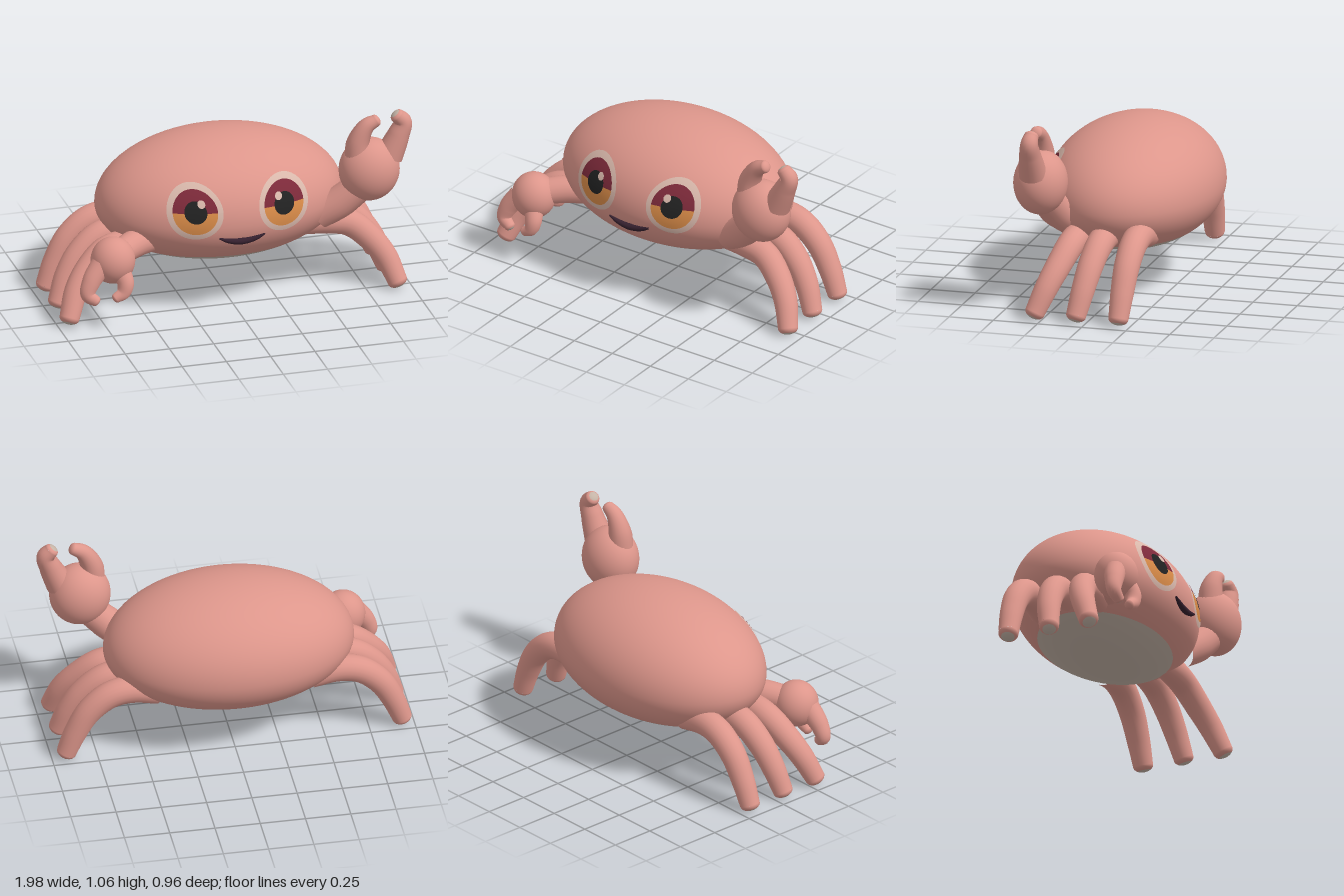
import * as THREE from 'three';

const mat = (name, color, side = THREE.FrontSide) => {
  const m = new THREE.MeshStandardMaterial({ color, side });
  m.name = name;
  return m;
};
const V = (p) => new THREE.Vector3(...p);

// Body ellipsoid: a shallower lower half and a taller upper half
const BODY = { y: 0.54, z: -0.012, rx: 0.688, up: 0.38, down: 0.32, rz: 0.472 };
const surfaceZ = (x, y) => {
  const ry = y > BODY.y ? BODY.up : BODY.down;
  return BODY.z + BODY.rz * Math.sqrt(Math.max(0, 1 - (x / BODY.rx) ** 2 - ((y - BODY.y) / ry) ** 2));
};

export function createModel() {
  const pink = mat('shellPink', 0xdd968b);
  const pale = mat('bellyGrey', 0xc4b3a6);
  const rim = mat('eyeRimCream', 0xd9b8ab);
  const maroon = mat('irisMaroon', 0x7d2a3a);
  const orange = mat('irisOrange', 0xd98b48);
  const black = mat('pupilBlack', 0x222222);
  const plum = mat('mouthPlum', 0x35202e);

  const model = new THREE.Group();
  model.name = 'crab';
  const add = (parent, name, geometry, material) => {
    const mesh = new THREE.Mesh(geometry, material);
    mesh.name = name;
    parent.add(mesh);
    return mesh;
  };
  const group = (name) => {
    const g = new THREE.Group();
    g.name = name;
    model.add(g);
    return g;
  };

  // Tube whose radius follows a list of values along the path
  const limb = (parent, name, points, radii, material = pink, tipMaterial = null) => {
    const curve = new THREE.CatmullRomCurve3(points.map(V));
    const n = 28, sides = 20;
    const geo = new THREE.TubeGeometry(curve, n, 1, sides);
    const pos = geo.attributes.position;
    for (let i = 0; i <= n; i++) {
      const c = curve.getPointAt(i / n);
      const f = (i / n) * (radii.length - 1);
      const k = Math.min(Math.floor(f), radii.length - 2);
      const r = THREE.MathUtils.lerp(radii[k], radii[k + 1], f - k);
      for (let j = 0; j <= sides; j++) {
        const id = i * (sides + 1) + j;
        const p = new THREE.Vector3().fromBufferAttribute(pos, id).sub(c).multiplyScalar(r).add(c);
        pos.setXYZ(id, p.x, p.y, p.z);
      }
    }
    add(parent, name, geo, material);
    if (!tipMaterial) return;
    // Rounded end with a coloured tip
    const r = radii[radii.length - 1];
    const q = new THREE.Quaternion().setFromUnitVectors(new THREE.Vector3(0, 1, 0), curve.getTangentAt(1));
    for (const [suffix, m, start, len] of [['Tip', tipMaterial, 0, 0.75], ['End', material, 0.75, Math.PI / 2 - 0.75]]) {
      const cap = add(parent, name + suffix, new THREE.SphereGeometry(r, sides, 8, 0, Math.PI * 2, start, len), m);
      cap.position.copy(curve.getPointAt(1));
      cap.quaternion.copy(q);
      cap.scale.y = 0.65;
    }
  };

  // Shell and belly
  const body = group('body');
  const cut = Math.PI - Math.acos(0.694);
  for (const [name, m, start, end, ry] of [
    ['upperShell', pink, 0, Math.PI / 2, BODY.up],
    ['lowerShell', pink, Math.PI / 2, cut, BODY.down],
    ['belly', pale, cut, Math.PI, BODY.down],
  ]) {
    const part = add(body, name, new THREE.SphereGeometry(1, 80, 28, 0, Math.PI * 2, start, end - start), m);
    part.position.set(0, BODY.y, BODY.z);
    part.scale.set(BODY.rx, ry, BODY.rz);
  }

  // Thin painted patch draped over the front of the body
  const patch = (parent, name, m, cx, cy, inner, outer, lift, a0 = 0, sweep = Math.PI * 2) => {
    const geo = new THREE.RingGeometry(inner, outer, 48, 6, a0, sweep);
    const pos = geo.attributes.position;
    for (let i = 0; i < pos.count; i++) {
      const x = pos.getX(i) + cx, y = pos.getY(i) + cy;
      pos.setXYZ(i, x, y, surfaceZ(x, y) + lift);
    }
    geo.computeVertexNormals();
    add(parent, name, geo, m);
  };

  // Eyes
  for (const s of [-1, 1]) {
    const eye = group(s > 0 ? 'leftEye' : 'rightEye');
    const x = s * 0.25, y = 0.63;
    patch(eye, 'eyeRim', rim, x, y, 0.116, 0.149, 0.006);
    patch(eye, 'upperIris', maroon, x, y, 0, 0.119, 0.007, 0, Math.PI);
    patch(eye, 'lowerIris', orange, x, y, 0, 0.119, 0.007, Math.PI, Math.PI);
    patch(eye, 'pupil', black, x, y + 0.005, 0, 0.06, 0.011);
    patch(eye, 'glint', rim, x - s * 0.032, y + 0.05, 0, 0.021, 0.015);
  }

  // Smiling mouth, tapering at both corners
  const smile = [-0.13, -0.085, -0.04, 0, 0.04, 0.085, 0.13].map((x) => {
    const y = 0.457 + 1.8 * x * x;
    return [x, y, surfaceZ(x, y) + 0.016];
  });
  limb(model, 'mouth', smile, [0.004, 0.012, 0.016, 0.018, 0.016, 0.012, 0.004], plum);

  // Three walking legs on each side: [name, hip z, foot z, knee lift]
  for (const s of [-1, 1]) {
    for (const [name, z0, z1, lift] of [
      ['frontLeg', 0.15, 0.288, -0.015],
      ['middleLeg', -0.01, 0.055, 0],
      ['backLeg', -0.2, -0.185, 0.015],
    ]) {
      const leg = group((s > 0 ? 'left_' : 'right_') + name);
      const z = (t) => THREE.MathUtils.lerp(z0, z1, t);
      limb(leg, name, [
        [s * 0.42, 0.385, z(-0.1)],
        [s * 0.57, 0.4 + lift, z(0)],
        [s * 0.69, 0.375 + lift, z(0.08)],
        [s * 0.8, 0.285 + lift, z(0.33)],
        [s * 0.875, 0.17, z(0.63)],
        [s * 0.926, 0.04, z(1)],
      ], [0.07, 0.076, 0.074, 0.07, 0.064, 0.055], pink, pale);
    }
  }

  const palm = (parent, position, scale) => {
    const p = add(parent, 'palm', new THREE.SphereGeometry(1, 40, 28), pink);
    p.position.set(...position);
    p.scale.set(...scale);
  };

  // Raised left claw
  const left = group('leftClaw');
  limb(left, 'arm', [[0.5, 0.46, 0.22], [0.6, 0.53, 0.26], [0.74, 0.65, 0.3]], [0.085, 0.09, 0.08]);
  palm(left, [0.762, 0.73, 0.304], [0.168, 0.178, 0.147]);
  limb(left, 'innerFinger', [[0.69, 0.8, 0.315], [0.7, 0.91, 0.315], [0.745, 0.99, 0.317], [0.796, 1.017, 0.318]],
    [0.07, 0.066, 0.05, 0.034], pink, pink);
  limb(left, 'outerFinger', [[0.87, 0.8, 0.315], [0.925, 0.92, 0.315], [0.95, 0.99, 0.313], [0.918, 1.028, 0.311]],
    [0.078, 0.068, 0.055, 0.04], pink, pale);

  // Lowered right claw
  const right = group('rightClaw');
  limb(right, 'arm', [[-0.43, 0.42, 0.19], [-0.56, 0.42, 0.26], [-0.68, 0.4, 0.34]], [0.075, 0.077, 0.07]);
  palm(right, [-0.7, 0.385, 0.355], [0.122, 0.13, 0.12]);
  limb(right, 'outerFinger', [[-0.77, 0.38, 0.38], [-0.835, 0.29, 0.4], [-0.857, 0.22, 0.41], [-0.815, 0.182, 0.42]],
    [0.06, 0.055, 0.044, 0.03], pink, pale);
  limb(right, 'innerFinger', [[-0.67, 0.34, 0.4], [-0.65, 0.27, 0.433], [-0.665, 0.22, 0.437], [-0.705, 0.193, 0.435]],
    [0.055, 0.048, 0.04, 0.027], pink, pink);

  model.position.x = -0.007;
  return model;
}
